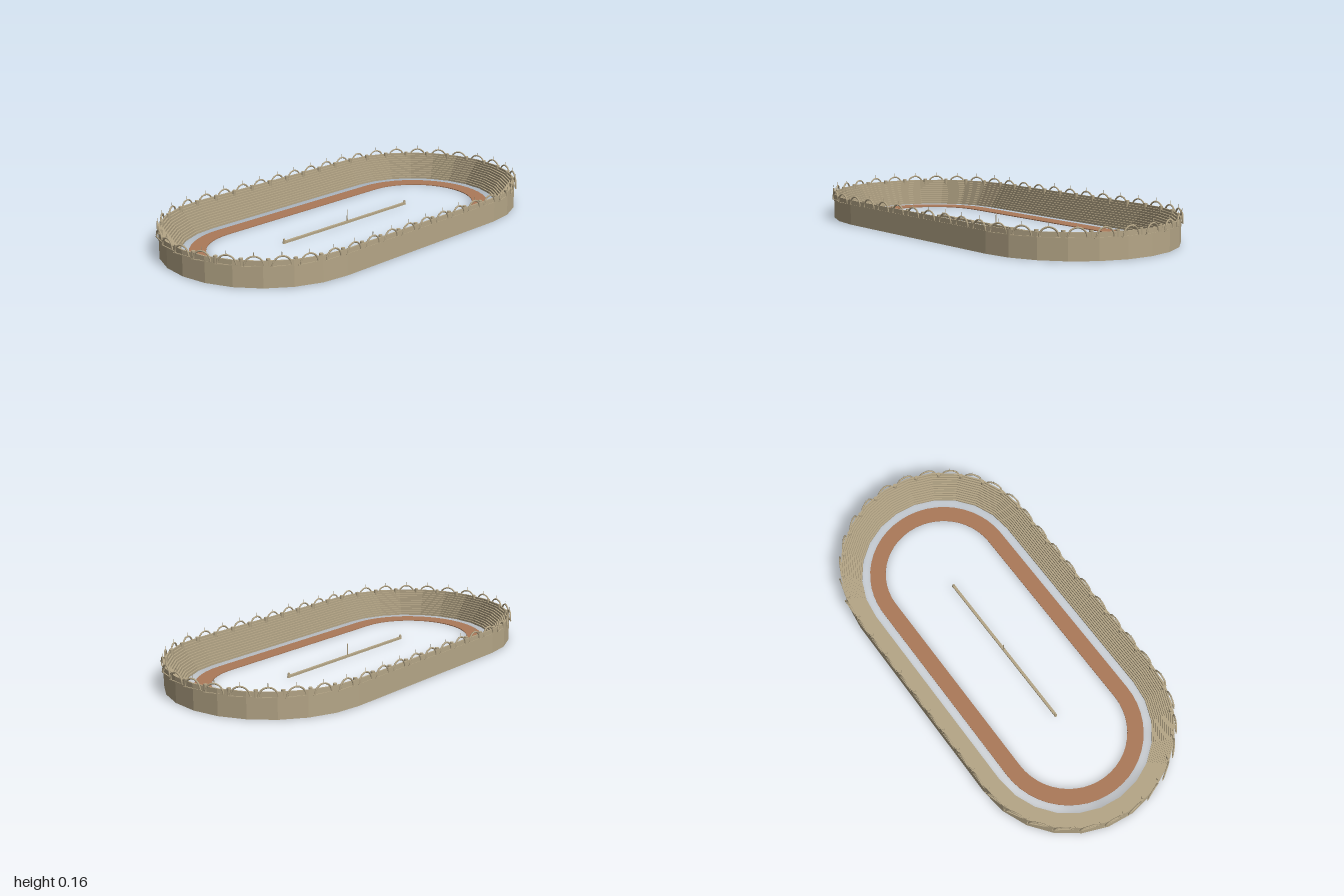
import * as THREE from 'three';

const HALF = 0.5; // half length of the straights
const OUTER = 0.486, INNER = 0.395, WALL = 0.12, BASE = 0.002;

const stone = new THREE.MeshStandardMaterial({ color: 0xb5a687 });
stone.name = 'stone';
const sand = new THREE.MeshStandardMaterial({ color: 0xab7959 });
sand.name = 'reddish sand';

// Sweeps a closed (radius, height) profile round the oval, with flat faces
function sweepOval(profile, segments) {
  const path = [];
  for (const side of [1, -1]) {
    for (let i = 0; i <= segments; i++) {
      const a = (i / segments - 0.5) * Math.PI + (side < 0 ? Math.PI : 0);
      path.push([side * HALF, Math.cos(a), Math.sin(a)]);
    }
  }
  const at = (j, k) => {
    const [r, y] = profile[j % profile.length];
    const [cx, c, s] = path[k % path.length];
    return [cx + c * r, y, s * r];
  };
  const pos = [];
  for (let k = 0; k < path.length; k++) {
    for (let j = 0; j < profile.length; j++) {
      const a = at(j, k), b = at(j + 1, k), c = at(j + 1, k + 1), d = at(j, k + 1);
      pos.push(...a, ...b, ...c, ...a, ...c, ...d);
    }
  }
  const g = new THREE.BufferGeometry();
  g.setAttribute('position', new THREE.Float32BufferAttribute(pos, 3));
  g.computeVertexNormals();
  return g;
}

// Position and outward angle at distance s along the oval, from the +x end
function ovalPoint(s, r) {
  const arc = Math.PI * r, straight = 2 * HALF, total = 2 * (arc + straight);
  s = (((s + arc / 2) % total) + total) % total;
  const side = s < arc + straight ? 1 : -1;
  if (side < 0) s -= arc + straight;
  const curved = s < arc;
  const a = (curved ? s / r : arc / r) - Math.PI / 2;
  const x = HALF + Math.cos(a) * r - (curved ? 0 : s - arc);
  return { x: side * x, z: side * Math.sin(a) * r, angle: a + (side < 0 ? Math.PI : 0), curved };
}

export function createModel() {
  const root = new THREE.Group();
  root.name = 'arena';
  const add = (parent, name, geometry, material, x = 0, y = 0, z = 0) => {
    const m = new THREE.Mesh(geometry, material);
    m.name = name;
    m.position.set(x, y, z);
    parent.add(m);
    return m;
  };

  // Stepped seating bowl with a sheer outer wall
  const rows = 12, profile = [[INNER, BASE], [OUTER, BASE], [OUTER, WALL]];
  for (let i = rows - 1; i >= 0; i--) {
    const r = INNER + ((OUTER - INNER) * i) / rows;
    profile.push([r, BASE + ((WALL - BASE) * (i + 1)) / rows]);
    if (i > 0) profile.push([r, BASE + ((WALL - BASE) * i) / rows]);
  }
  add(root, 'seating', sweepOval(profile, 12), stone);

  // Race track
  add(root, 'track', sweepOval([[0.279, 0], [0.355, 0], [0.355, 0.004], [0.279, 0.004]], 24), sand);

  // Central spine with turning posts and an obelisk
  const spine = new THREE.Group();
  spine.name = 'spine';
  root.add(spine);
  add(spine, 'spineWall', new THREE.BoxGeometry(0.82, 0.01, 0.013), stone, 0, 0.007);
  add(spine, 'obelisk', new THREE.CylinderGeometry(0.002, 0.004, 0.056, 4), stone, 0, 0.04);
  for (const side of [-1, 1]) {
    add(spine, 'turningPost', new THREE.CylinderGeometry(0.004, 0.008, 0.022, 8), stone, side * 0.408, 0.013);
  }

  // Arcade round the rim: arches on sills, with thin masts and columns between
  const count = 44, step = (4 * HALF + 2 * Math.PI * OUTER) / count;
  const archGeo = new THREE.TorusGeometry(0.04, 0.004, 6, 14, Math.PI);
  const sillGeo = new THREE.BoxGeometry(0.098, 0.003, 0.005);
  const mastGeo = new THREE.CylinderGeometry(0.0012, 0.0012, 0.02, 5);
  const columnGeo = new THREE.CylinderGeometry(0.009, 0.009, 0.03, 8);
  const arcade = new THREE.Group();
  arcade.name = 'arcade';
  root.add(arcade);
  for (let i = 0; i < count; i++) {
    const p = ovalPoint(i * step, OUTER);
    const bay = new THREE.Group();
    bay.name = 'archBay';
    bay.position.set(p.x, 0, p.z);
    bay.rotation.y = Math.PI / 2 - p.angle + (p.curved ? 0.12 : 0);
    arcade.add(bay);
    add(bay, 'arch', archGeo, stone, 0, 0.1, 0);
    add(bay, 'sill', sillGeo, stone, 0, 0.098, 0);
    add(bay, 'mast', mastGeo, stone, 0, 0.149, 0);
    const q = ovalPoint((i + 0.5) * step * 0.999, OUTER);
    add(arcade, 'column', columnGeo, stone,
      q.x - Math.cos(q.angle) * 0.011, 0.112, q.z - Math.sin(q.angle) * 0.011);
  }
  return root;
}
